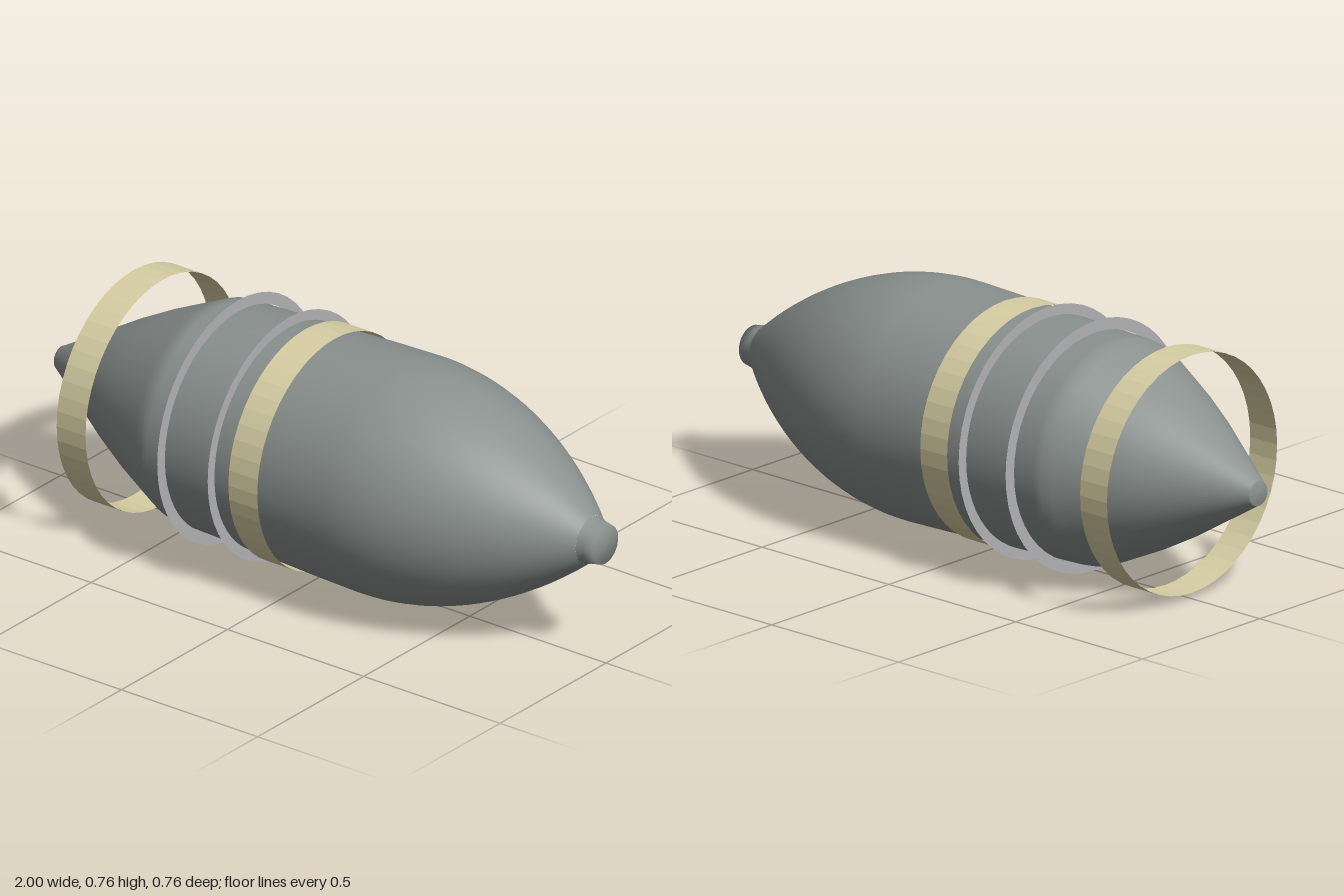
import * as THREE from 'three';

const AXIS_Y = 0.381;
const SIDES = 48;

export function createModel() {
  const model = new THREE.Group();
  model.name = 'shell';

  const bodyGrey = new THREE.MeshStandardMaterial({ color: 0x8a918e });
  bodyGrey.name = 'body grey';
  const bandCream = new THREE.MeshStandardMaterial({ color: 0xd8cfa4, side: THREE.DoubleSide, flatShading: true });
  bandCream.name = 'band cream';
  const ringGrey = new THREE.MeshStandardMaterial({ color: 0xb2b2b4, side: THREE.DoubleSide });
  ringGrey.name = 'ring grey';

  const add = (name, geometry, material, x = 0) => {
    const mesh = new THREE.Mesh(geometry, material);
    mesh.name = name;
    mesh.position.set(x, AXIS_Y, 0);
    model.add(mesh);
  };

  // Body: tapered tail, near-straight middle, rounded nose (radius, position along x)
  const profile = [
    [0, -1], [0.036, -0.998], [0.04, -0.99], [0.195, -0.735], [0.257, -0.62],
    [0.325, -0.475], [0.338, -0.445], [0.341, -0.42], [0.351, -0.1], [0.359, 0.1],
  ];
  for (let i = 0; i <= 20; i++) {
    const t = i / 20;
    profile.push([0.363 - 0.29 * t * t, 0.25 + 0.695 * t]);
  }
  const points = profile.map(([r, x]) => new THREE.Vector2(r, x));
  add('body', new THREE.LatheGeometry(points, 64).rotateZ(-Math.PI / 2), bodyGrey);

  // Nose plug
  const plug = [[0.073, 0.945], [0.066, 0.965], [0.06, 0.998], [0, 1]].map(([r, x]) => new THREE.Vector2(r, x));
  add('nosePlug', new THREE.LatheGeometry(plug, 32).rotateZ(-Math.PI / 2), bodyGrey);

  // Open cream bands
  [['tailBand', -0.68], ['middleBand', -0.05]].forEach(([name, x]) => {
    const band = new THREE.CylinderGeometry(0.363, 0.363, 0.106, SIDES, 1, true).rotateZ(-Math.PI / 2);
    add(name, band, bandCream, x);
  });

  // Flat rings around the middle
  [['rearRing', -0.35], ['frontRing', -0.165]].forEach(([name, x]) => {
    add(name, new THREE.RingGeometry(0.345, 0.381, SIDES).rotateY(Math.PI / 2), ringGrey, x);
  });

  return model;
}
